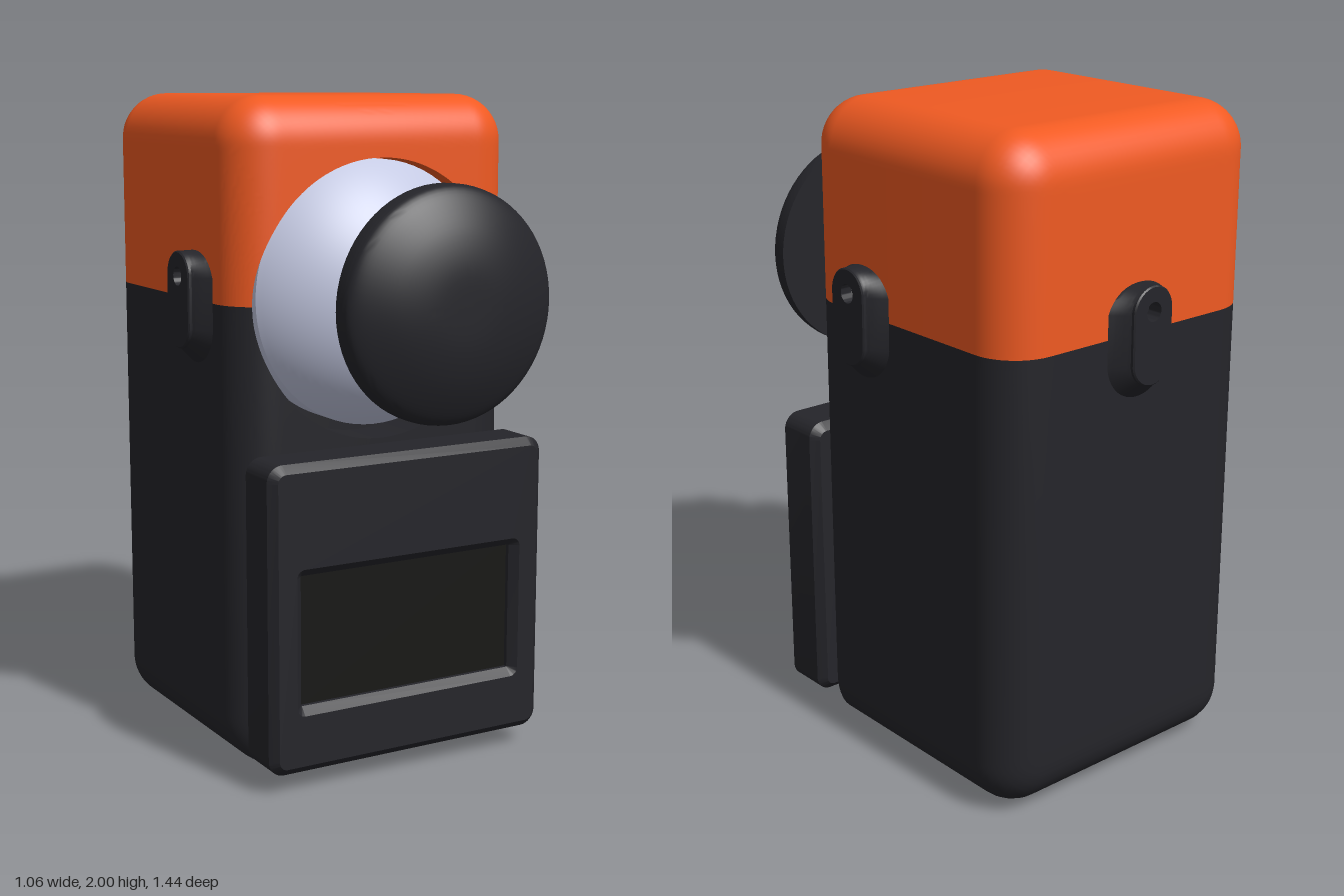
import * as THREE from 'three';
import { toCreasedNormals } from 'three/addons/utils/BufferGeometryUtils.js';

const mat = (color) => new THREE.MeshStandardMaterial({ color, roughness: 0.7 });
const W = 0.475, R = 0.14, FRONT = 0.25, BACK = -0.66, SPLIT = 1.405, BORE = 0.415;

// Skin a surface over rings that all have the same number of [x, y, z] points
function loft(rings, crease = 0.6) {
  const n = rings[0].length, index = [];
  for (let j = 0; j < rings.length - 1; j++) {
    for (let i = 0; i < n - 1; i++) {
      const a = j * n + i, b = a + n;
      index.push(a, b, b + 1, a, b + 1, a + 1);
    }
  }
  const g = new THREE.BufferGeometry();
  g.setAttribute('position', new THREE.Float32BufferAttribute(rings.flat(2), 3));
  g.setIndex(index);
  return toCreasedNormals(g, crease);
}

// Half of the rounded housing, from the split line through the bore to height H.
// frontScale flattens the rounding along the front end edge.
function halfHousing(H, frontScale) {
  const outline = [];
  for (let i = 0; i < 36; i++) outline.push([W, (H - R) * i / 36]);
  for (let i = 0; i <= 12; i++) {
    const a = i / 12 * Math.PI / 2;
    outline.push([W - R + R * Math.cos(a), H - R + R * Math.sin(a)]);
  }
  for (let i = 1; i < 10; i++) outline.push([(W - R) * (1 - i / 10), H]);
  outline.push([0, H]);
  outline.push(...outline.slice(0, -1).reverse().map(([x, y]) => [-x, y]));

  const drop = (x, y, scale) => {
    const dx = Math.max(0, Math.abs(x) - W + R), dy = Math.max(0, y - H + R);
    const d2 = dx * dx + dy * dy;
    if (d2 === 0) return 0;
    const k = 1 + (scale - 1) * dy * dy / d2;
    return k * (R - Math.sqrt(Math.max(0, R * R - d2)));
  };
  const rim = outline.map(([x, y]) => {
    const s = BORE / Math.hypot(x, y);
    return [x * s, y * s];
  });
  const rings = [rim.map(() => [0, 0, 0.1]), rim.map(([x, y]) => [x, y, 0.1])];
  const N = 24;
  // front face, from the bore edge outwards
  for (let j = 0; j <= N; j++) {
    const t = 1 - (1 - j / N) ** 2;
    rings.push(outline.map(([ox, oy], i) => {
      const x = rim[i][0] + (ox - rim[i][0]) * t, y = rim[i][1] + (oy - rim[i][1]) * t;
      return [x, y, FRONT - drop(x, y, frontScale)];
    }));
  }
  // back face, from the outline inwards
  for (let j = 0; j <= N; j++) {
    const t = 1 - (j / N) ** 2;
    rings.push(outline.map(([x, y]) => [x * t, y * t, BACK + drop(x * t, y * t, 1)]));
  }
  return loft(rings);
}

// Strap lug with an eyelet and a flared foot; local z points away from the body
function lugGeometry() {
  const ring = (r, z, low, flare = 0) => Array.from({ length: 49 }, (_, i) => {
    const a = i / 48 * Math.PI * 2, s = Math.sin(a);
    const q = r + flare * (1 - Math.max(0, s));
    return [Math.cos(a) * q, s * q + (s < -1e-6 ? -low : 0), z];
  });
  const rings = [ring(0, 0.01, 0), ring(0.028, 0.01, 0), ring(0.028, 0.057, 0),
    ring(0.07, 0.057, 0.14), ring(0.074, 0.053, 0.14)];
  for (let i = 0; i <= 8; i++) {
    const a = i / 8 * Math.PI / 2;
    rings.push(ring(0.074, 0.045 * Math.cos(a), 0.14, 0.045 * (1 - Math.cos(a * 0.999))));
  }
  rings.push(ring(0.074, -0.02, 0.14, 0.045));
  return loft(rings, 0.5);
}

function roundedRect(target, x0, y0, x1, y1, r) {
  target.moveTo(x0 + r, y0);
  target.lineTo(x1 - r, y0);
  target.absarc(x1 - r, y0 + r, r, -Math.PI / 2, 0);
  target.lineTo(x1, y1 - r);
  target.absarc(x1 - r, y1 - r, r, 0, Math.PI / 2);
  target.lineTo(x0 + r, y1);
  target.absarc(x0 + r, y1 - r, r, Math.PI / 2, Math.PI);
  target.lineTo(x0, y0 + r);
  target.absarc(x0 + r, y0 + r, r, Math.PI, Math.PI * 1.5);
  return target;
}

// Turned part whose axis points forward; profile is [radius, z]
function turned(profile) {
  const g = new THREE.LatheGeometry(profile.map(([r, z]) => new THREE.Vector2(r, z)), 72);
  return toCreasedNormals(g.rotateX(Math.PI / 2), 0.5);
}

export function createModel() {
  const model = new THREE.Group();
  model.name = 'device';
  const dark = mat(0x25252a), orange = mat(0xf05a22), pale = mat(0xc4c9e2);
  const black = mat(0x171715), grey = mat(0xcccccc);
  const add = (name, geometry, material, x = 0, y = 0, z = 0) => {
    const m = new THREE.Mesh(geometry, material);
    m.name = name;
    m.position.set(x, y, z);
    model.add(m);
    return m;
  };

  // Housing in two colours, open at the front for the ball
  add('upperHousing', halfHousing(2 - SPLIT, 1), orange, 0, SPLIT);
  add('lowerHousing', halfHousing(SPLIT - 0.012, 0.36).rotateZ(Math.PI), dark, 0, SPLIT);

  // Ball in the socket
  const ball = [[0.395, 0.1]];
  for (let i = 0; i <= 20; i++) {
    const a = Math.asin(0.395 / 0.48) * (1 - i / 20) + 0.2 * i / 20;
    ball.push([0.48 * Math.sin(a), -0.065 + 0.48 * Math.cos(a)]);
  }
  add('ball', turned(ball), pale, 0, 1.42);

  // Mushroom knob on its neck
  add('knobNeck', turned([[0.147, 0.35], [0.147, 0.58]]), dark, 0, 1.425);
  const dome = new THREE.SplineCurve([[0.338, 0.6], [0.328, 0.632], [0.28, 0.664], [0.2, 0.698],
    [0.11, 0.717], [0, 0.72]].map((p) => new THREE.Vector2(...p))).getPoints(24);
  add('knobCap', turned([[0, 0.573], [0.338, 0.573], ...dome.map((p) => [p.x, p.y])]),
    dark, 0, 1.425);

  // Front panel with chamfered edges and a window
  const panel = roundedRect(new THREE.Shape(), -0.467, 0.06, 0.467, 0.98, 0.05);
  panel.holes.push(roundedRect(new THREE.Path(), -0.36, 0.26, 0.36, 0.65, 0.002));
  add('frontPanel', toCreasedNormals(new THREE.ExtrudeGeometry(panel, {
    depth: 0.13, bevelThickness: 0.024, bevelSize: 0.024, bevelOffset: -0.024,
    bevelSegments: 1, curveSegments: 8,
  }), 0.5), dark, 0, 0, 0.278);
  add('screen', new THREE.BoxGeometry(0.76, 0.43, 0.1), black, 0, 0.455, 0.345);
  add('panelMount', new THREE.BoxGeometry(0.8, 0.8, 0.06), dark, 0, 0.52, 0.25);

  // Strap lugs on both sides and the back
  const lug = lugGeometry();
  add('leftLug', lug, dark, W, 1.477, -0.027).rotation.y = Math.PI / 2;
  add('rightLug', lug, dark, -W, 1.477, -0.027).rotation.y = -Math.PI / 2;
  add('backLug', lug, dark, 0, 1.477, BACK).rotation.y = Math.PI;
  add('lugPin', new THREE.CylinderGeometry(0.026, 0.026, 0.02, 24).rotateZ(Math.PI / 2),
    grey, W + 0.012, 1.477, -0.027);

  // Charging port underneath
  const port = roundedRect(new THREE.Shape(), -0.125, -0.045, 0.125, 0.045, 0.044);
  port.holes.push(roundedRect(new THREE.Path(), -0.112, -0.032, 0.112, 0.032, 0.031));
  add('portShell', toCreasedNormals(new THREE.ExtrudeGeometry(port, {
    depth: 0.03, bevelEnabled: false,
  }).rotateX(-Math.PI / 2), 0.5), black, 0, 0, -0.29);
  add('portTongue', new THREE.BoxGeometry(0.17, 0.02, 0.025), grey, 0, 0.013, -0.29);
  return model;
}
